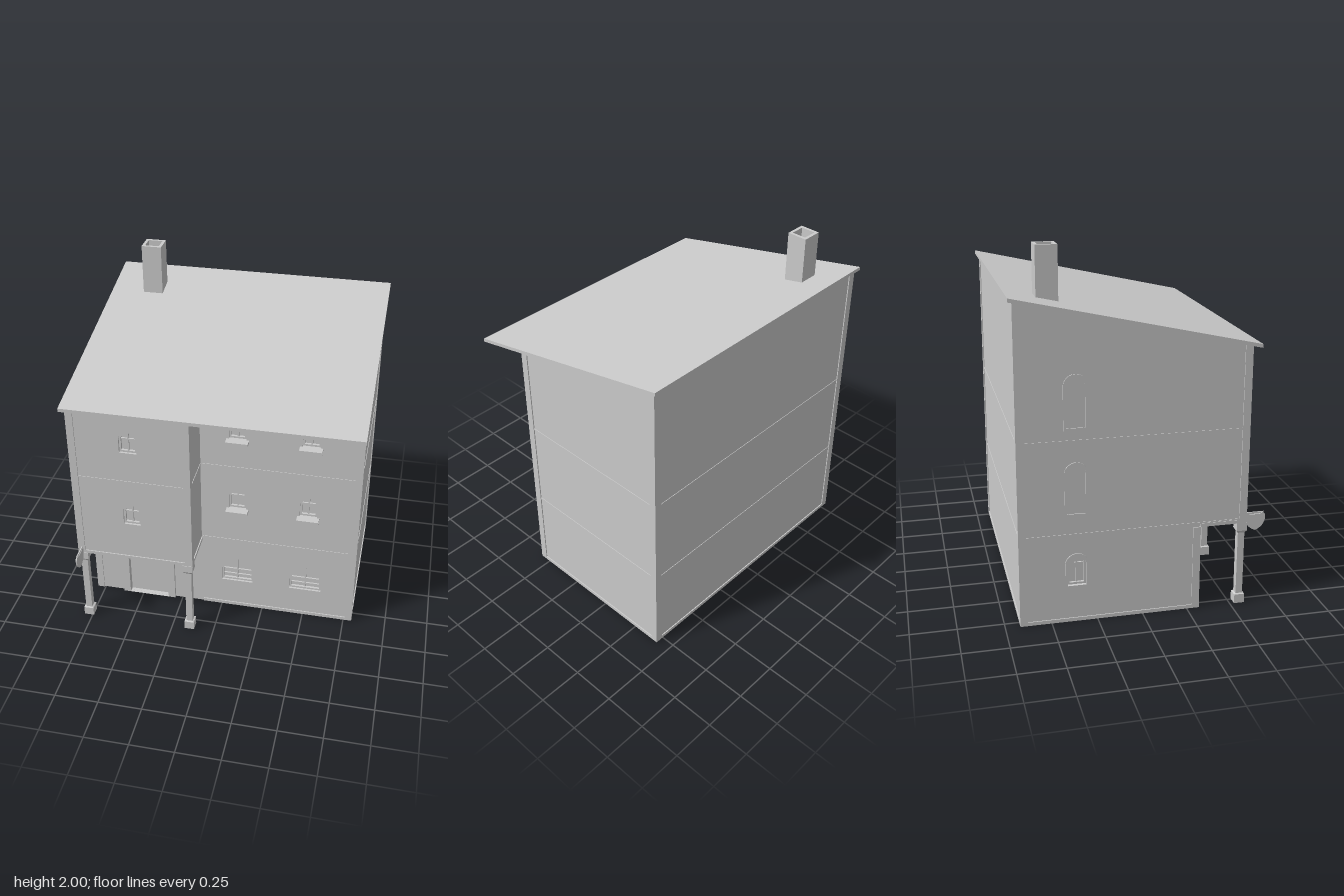
import * as THREE from 'three';

const material = new THREE.MeshStandardMaterial({ color: 0xcccccc, flatShading: true });
const WALL = 0.035;   // wall thickness
const INSET = 0.006;  // walls sit this far behind the corner trim
const SLOPE = 0.2235;
const roofTop = z => 1.48 + (0.625 - z) * SLOPE;
const under = z => roofTop(z) - 0.017;

function add(parent, name, geometry) {
  const mesh = new THREE.Mesh(geometry, material);
  mesh.name = name;
  parent.add(mesh);
  return mesh;
}

function box(parent, name, x0, x1, y0, y1, z0, z1) {
  const mesh = add(parent, name, new THREE.BoxGeometry(x1 - x0, y1 - y0, z1 - z0));
  mesh.position.set((x0 + x1) / 2, (y0 + y1) / 2, (z0 + z1) / 2);
  return mesh;
}

const extrude = (shape, depth) =>
  new THREE.ExtrudeGeometry(shape, { depth, bevelEnabled: false, curveSegments: 12 });

const polygon = pts => new THREE.Shape(pts.map(p => new THREE.Vector2(p[0], p[1])));

// Opening with straight sides and a rounded head, shrunk by m on sides and top
function arch({ x, y, w, top, rise = w / 2 }, m = 0, bottom = m) {
  const r = w / 2 - m, spring = top - rise;
  const s = new THREE.Shape();
  s.moveTo(x - r, y + bottom);
  s.lineTo(x + r, y + bottom);
  s.lineTo(x + r, spring);
  s.absellipse(x, spring, r, rise - m, 0, Math.PI, false);
  s.closePath();
  return s;
}

function ring(opening, outer, inner, bottom) {
  const s = arch(opening, outer, bottom ?? outer);
  s.holes.push(arch(opening, inner, bottom ?? inner));
  return s;
}

// Recessed pane, frame and glazing bars; face is the outer plane of the wall
function addWindow(parent, o, face) {
  const g = new THREE.Group();
  g.name = 'window';
  parent.add(g);
  add(g, 'windowPane', extrude(arch(o, -0.002), 0.006)).position.z = face - 0.032;
  add(g, 'windowFrame', extrude(ring(o, -0.001, 0.011), 0.014)).position.z = face - 0.026;
  box(g, 'verticalBar', o.x - 0.004, o.x + 0.004, o.y, o.top - 0.004, face - 0.027, face - 0.016);
  const rows = o.w > 0.15 ? 3 : 2;
  for (let i = 1; i < rows; i++) {
    const y = o.y + (o.top - o.w / 2 - o.y) * i / (rows - 1);
    box(g, 'crossBar', o.x - o.w / 2, o.x + o.w / 2, y - 0.004, y + 0.004, face - 0.027, face - 0.017);
  }
  if (o.ledge) {
    box(g, 'windowLedge', o.x - 0.064, o.x + 0.064, o.y - 0.014, o.y, face - 0.02, face + 0.045);
    for (const s of [-1, 1]) {
      const bracket = add(g, 'ledgeBracket', extrude(polygon([[0, 0], [0, -0.018], [0.034, 0]]), 0.012));
      bracket.rotation.y = -Math.PI / 2;
      bracket.position.set(o.x + s * 0.046 + 0.006, o.y - 0.014, face);
    }
  }
}

// Wall drawn in its own plane, turned about y so that it faces outward
function wall(parent, name, turn, face, outline, windows = [], doors = []) {
  const g = new THREE.Group();
  g.name = name;
  g.rotation.y = turn;
  parent.add(g);
  const shape = polygon(outline);
  for (const o of [...windows, ...doors]) shape.holes.push(arch(o, 0));
  add(g, name + 'Panel', extrude(shape, WALL)).position.z = face - INSET - WALL;
  windows.forEach(o => addWindow(g, o, face - INSET));
  return g;
}

export function createModel() {
  const house = new THREE.Group();
  house.name = 'house';
  const X = 0.8, BACK = -0.67, FRONT = 0.32, BAY = 0.58, BAYX = -0.115, BAYY = 0.48;
  const e = INSET, T = 0.042;

  // Main front wall with door opening and windows
  const door = { x: -0.46, y: 0, w: 0.245, top: 0.325, rise: 0.05 };
  const frontWindows = [];
  for (const x of [0.095, 0.507]) {
    frontWindows.push({ x, y: 0.19, w: 0.19, top: 0.36 });
    for (const y of [0.735, 1.21]) frontWindows.push({ x, y, w: 0.1, top: y + 0.132, ledge: true });
  }
  const doorHole = { ...door, y: 0.001 };
  wall(house, 'frontWall', 0, FRONT, [[-X + e, 0], [X - e, 0], [X - e, under(FRONT)], [-X + e, under(FRONT)]],
    frontWindows, [doorHole]);

  // Door leaf and arched surround
  const doorway = new THREE.Group();
  doorway.name = 'doorway';
  house.add(doorway);
  add(doorway, 'doorLeaf', extrude(arch(door, -0.002, 0), 0.01)).position.z = FRONT - 0.036;
  const surround = arch({ x: -0.46, y: 0, w: 0.33, top: 0.362, rise: 0.085 });
  surround.holes.push(arch({ ...door, y: 0.0005 }));
  add(doorway, 'doorSurround', extrude(surround, 0.022)).position.z = FRONT - 0.012;

  // Projecting upper bay
  const bayWindows = [0.727, 1.21].map(y => ({ x: -0.46, y, w: 0.1, top: y + 0.132 }));
  wall(house, 'bayFrontWall', 0, BAY,
    [[-X + e, BAYY], [BAYX - e, BAYY], [BAYX - e, under(BAY)], [-X + e, under(BAY)]], bayWindows);
  wall(house, 'bayInnerWall', Math.PI / 2, BAYX,
    [[-BAY + e, BAYY], [-FRONT + 0.02, BAYY], [-FRONT + 0.02, under(FRONT - 0.02)], [-BAY + e, under(BAY - e)]]);

  // Side and back walls
  const sideWindows = [[0.21, 0.38], [0.62, 0.89], [1.09, 1.36]].map(([y, top]) => ({ x: -0.36, y, w: 0.1, top }));
  const side = wall(house, 'rightSideWall', -Math.PI / 2, X,
    [[BACK + e, 0], [FRONT - e, 0], [FRONT - e, BAYY], [BAY - e, BAYY], [BAY - e, under(BAY)], [BACK + e, under(BACK)]],
    sideWindows);
  for (const o of sideWindows) {
    add(side, 'windowSurround', extrude(ring(o, -0.014, 0), 0.01)).position.z = X - e - 0.004;
  }
  wall(house, 'leftSideWall', Math.PI / 2, X,
    [[-FRONT + e, 0], [-BACK - e, 0], [-BACK - e, under(BACK)], [-FRONT + e, under(FRONT)]]);
  wall(house, 'backWall', Math.PI, -BACK,
    [[-X + e, 0], [X - e, 0], [X - e, under(BACK)], [-X + e, under(BACK)]]);

  // Floor above the open ground storey
  box(house, 'mainCeiling', -X + 0.02, X - 0.02, 0.49, 0.505, BACK + 0.02, FRONT - 0.02);
  box(house, 'bayFloor', -X + e, BAYX - e, BAYY, 0.5, FRONT - 0.02, BAY - e);

  // Corner trim
  const trim = (x0, y0, y1, z0) => box(house, 'cornerTrim', x0, x0 + T, y0, y1, z0, z0 + T);
  trim(-X, 0, under(BACK + T) + 0.008, BACK);
  trim(X - T, 0, under(BACK + T) + 0.008, BACK);
  trim(X - T, 0, under(FRONT) + 0.008, FRONT - T);
  trim(-X, 0, BAYY, FRONT - T);
  trim(-X, BAYY, under(BAY) + 0.008, BAY - T);
  trim(BAYX - T, BAYY, under(BAY) + 0.008, BAY - T);

  // Base trim and storey bands
  const levels = [[0, 0.02, e], [0.497, 0.507, 0.003], [1.015, 1.025, 0.003]];
  levels.forEach(([a, b, out], i) => {
    const n = i ? 'storeyBand' : 'baseTrim', p = e - out;
    const zSide = i ? BAY - T : FRONT - T;
    box(house, n, X - 0.03, X - p, a, b, BACK + T, FRONT - T);
    box(house, n, -X + p, -X + 0.03, a, b, BACK + T, zSide);
    box(house, n, -X + T, X - T, a, b, BACK + p, BACK + 0.03);
    box(house, n, BAYX, X - T, a, b, FRONT - 0.03, FRONT - p);
    if (i === 2) {
      box(house, n, -X + T, BAYX - T, a, b, BAY - 0.03, BAY - p);
      box(house, n, BAYX - 0.03, BAYX - p, a, b, FRONT, BAY - T);
    }
  });
  box(house, 'bayBaseTrim', -X + T, BAYX - T, BAYY, 0.5, BAY - 0.03, BAY);
  box(house, 'bayBaseTrim', BAYX - 0.03, BAYX, BAYY, 0.5, FRONT, BAY - T);
  box(house, 'bayBaseTrim', -X, -X + 0.03, BAYY, 0.5, FRONT, BAY - T);

  // Posts carrying the bay: square turned profile of foot, shaft and capital
  const r = h => h * Math.SQRT2;
  const profile = [[0, 0], [0.029, 0], [0.029, 0.052], [0.019, 0.056], [0.019, 0.42], [0.029, 0.435], [0.029, BAYY], [0, BAYY]]
    .map(([h, y]) => new THREE.Vector2(r(h), y));
  for (const x of [-0.771, -0.144]) {
    const post = add(house, 'bayPost', new THREE.LatheGeometry(profile, 4, Math.PI / 4));
    post.position.set(x, 0, 0.554);
  }

  // Thin hanging shield
  const s = new THREE.Shape();
  s.moveTo(0.59, 0.528);
  s.lineTo(0.605, 0.515);
  s.lineTo(0.665, 0.515);
  s.lineTo(0.68, 0.528);
  s.lineTo(0.694, 0.51);
  s.quadraticCurveTo(0.7, 0.445, 0.638, 0.422);
  s.quadraticCurveTo(0.575, 0.445, 0.58, 0.51);
  s.closePath();
  const shield = add(house, 'hangingShield', extrude(s, 0.008));
  shield.rotation.y = -Math.PI / 2;
  shield.position.x = -0.769;
  box(house, 'shieldBar', -0.776, -0.77, 0.518, 0.528, 0.57, 0.685);

  // Sloping slab roof
  const zf = 0.625, zb = -0.692;
  const roof = add(house, 'roof', extrude(
    polygon([[zf, roofTop(zf) - 0.02], [zf, roofTop(zf)], [zb, roofTop(zb)], [zb, roofTop(zb) - 0.02]]), 1.634));
  roof.rotation.y = -Math.PI / 2;
  roof.position.x = 0.817;

  // Hollow square chimney
  const square = h => polygon([[-h, -h], [h, -h], [h, h], [-h, h]]);
  const flue = square(0.058);
  flue.holes.push(square(0.041));
  const chimney = add(house, 'chimney', extrude(flue, 0.31));
  chimney.rotation.x = -Math.PI / 2;
  chimney.position.set(-0.567, 1.69, -0.468);
  box(house, 'chimneyFloor', -0.61, -0.524, 1.85, 1.86, -0.511, -0.425);

  return house;
}
